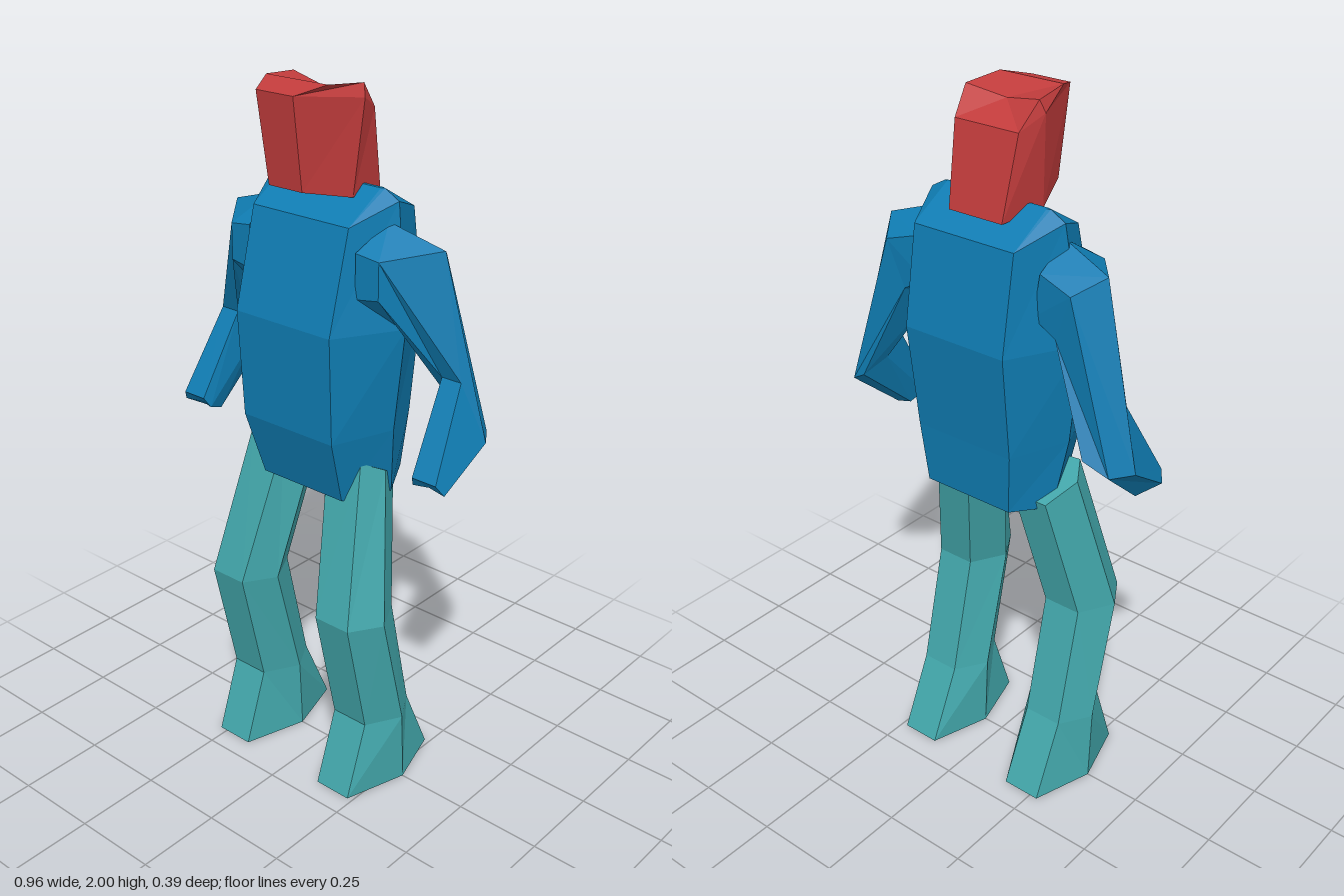
import * as THREE from 'three';

// Skin a list of equal-sized rings, close both ends, and turn the faces outward
function loft(rings) {
  const n = rings[0].length, tris = [];
  for (let r = 0; r < rings.length - 1; r++) {
    for (let i = 0; i < n; i++) {
      const j = (i + 1) % n;
      const a = rings[r][i], b = rings[r][j], c = rings[r + 1][j], d = rings[r + 1][i];
      tris.push([a, b, c], [a, c, d]);
    }
  }
  const cap = (ring, flip) => {
    const mid = [0, 1, 2].map(k => ring.reduce((s, p) => s + p[k], 0) / n);
    ring.forEach((p, i) => {
      const q = ring[(i + 1) % n];
      tris.push(flip ? [mid, q, p] : [mid, p, q]);
    });
  };
  cap(rings[0], true);
  cap(rings[rings.length - 1], false);
  // A negative enclosed volume means the winding is inside out
  const V = p => new THREE.Vector3(...p);
  const volume = tris.reduce((s, [a, b, c]) => s + V(a).dot(V(b).cross(V(c))), 0);
  if (volume < 0) tris.forEach(t => t.reverse());
  const geo = new THREE.BufferGeometry();
  geo.setAttribute('position', new THREE.Float32BufferAttribute(tris.flat(2), 3));
  geo.computeVertexNormals();
  return geo;
}

// Six-sided ring, mirrored about x = 0, from its front, side and back corners
function hex(front, side, back) {
  const m = ([x, y, z]) => [-x, y, z];
  return [front, side, back, m(back), m(side), m(front)];
}

// The same part on the other side of the plane x = centre
const mirror = (rings, centre = 0) =>
  rings.map(ring => ring.map(([x, y, z]) => [2 * centre - x, y, z]));

export function createModel() {
  const group = new THREE.Group();
  const material = color => new THREE.MeshStandardMaterial({ color, flatShading: true });
  const red = material(0xc23c3c), blue = material(0x0f7cb2), teal = material(0x42a6aa);
  const add = (name, rings, mat) => {
    const mesh = new THREE.Mesh(loft(rings), mat);
    mesh.name = name;
    group.add(mesh);
  };

  // Head, leaning forward, with a bevelled crown
  add('head', [
    hex([0.055, 1.74, 0.16], [0.108, 1.71, 0.03], [0.085, 1.7, -0.105]),
    hex([0.06, 1.98, 0.195], [0.127, 1.957, 0.01], [0.1, 1.92, -0.06]),
    hex([0.1, 2.0, 0.115], [0.115, 1.99, 0.0], [0.1, 1.92, -0.06]),
  ], red);

  // Torso, ending in a ridge across the shoulders
  add('torso', [
    hex([0.14, 0.9, 0.106], [0.2, 0.9, -0.03], [0.14, 0.915, -0.145]),
    hex([0.155, 1.09, 0.165], [0.228, 1.1, 0.0], [0.155, 1.09, -0.16]),
    hex([0.16, 1.39, 0.18], [0.26, 1.39, 0.0], [0.16, 1.39, -0.195]),
    hex([0.16, 1.66, 0.108], [0.215, 1.71, -0.02], [0.16, 1.66, -0.152]),
    hex([0.16, 1.735, -0.015], [0.17, 1.735, -0.02], [0.16, 1.735, -0.025]),
  ], blue);

  // Arms: shoulder, upper arm, elbow, hand
  const arm = [
    [[0.2, 1.66, 0], [0.18, 1.6, 0.105], [0.18, 1.48, 0.105],
      [0.18, 1.42, 0], [0.18, 1.48, -0.1], [0.2, 1.6, -0.1]],
    [[0.355, 1.61, -0.03], [0.25, 1.59, 0.1], [0.25, 1.49, 0.1],
      [0.245, 1.38, 0], [0.25, 1.44, -0.1], [0.3, 1.57, -0.11]],
    [[0.48, 1.12, -0.06], [0.42, 1.28, -0.025], [0.36, 1.28, -0.025],
      [0.345, 1.2, -0.08], [0.375, 1.16, -0.145], [0.44, 1.12, -0.12]],
    [[0.465, 1.02, 0.09], [0.45, 1.05, 0.108], [0.375, 1.05, 0.108],
      [0.365, 1.02, 0.09], [0.375, 1.0, 0.04], [0.42, 0.99, 0.035]],
  ];
  add('leftArm', arm, blue);
  add('rightArm', mirror(arm), blue);

  // Legs: foot, ankle and knee share one width; the hip leans inward
  const legRing = (y, front, side, back) => hex(
    [0.057, y, front], [0.112, y, side], [0.057, y, back],
  ).map(([x, yy, z]) => [x + 0.177, yy, z]);
  const leg = [
    legRing(0, 0.185, 0, -0.178),
    legRing(0.215, 0.11, 0.01, -0.08),
    legRing(0.565, 0.19, 0.1, 0),
    [[0.175, 1.01, 0.07], [0.212, 0.98, 0.01], [0.17, 0.93, -0.075],
      [0.06, 0.93, -0.075], [0.0, 0.97, 0.01], [0.06, 1.0, 0.07]],
  ];
  add('leftLeg', leg, teal);
  add('rightLeg', mirror(leg, -0.02), teal);

  return group;
}
